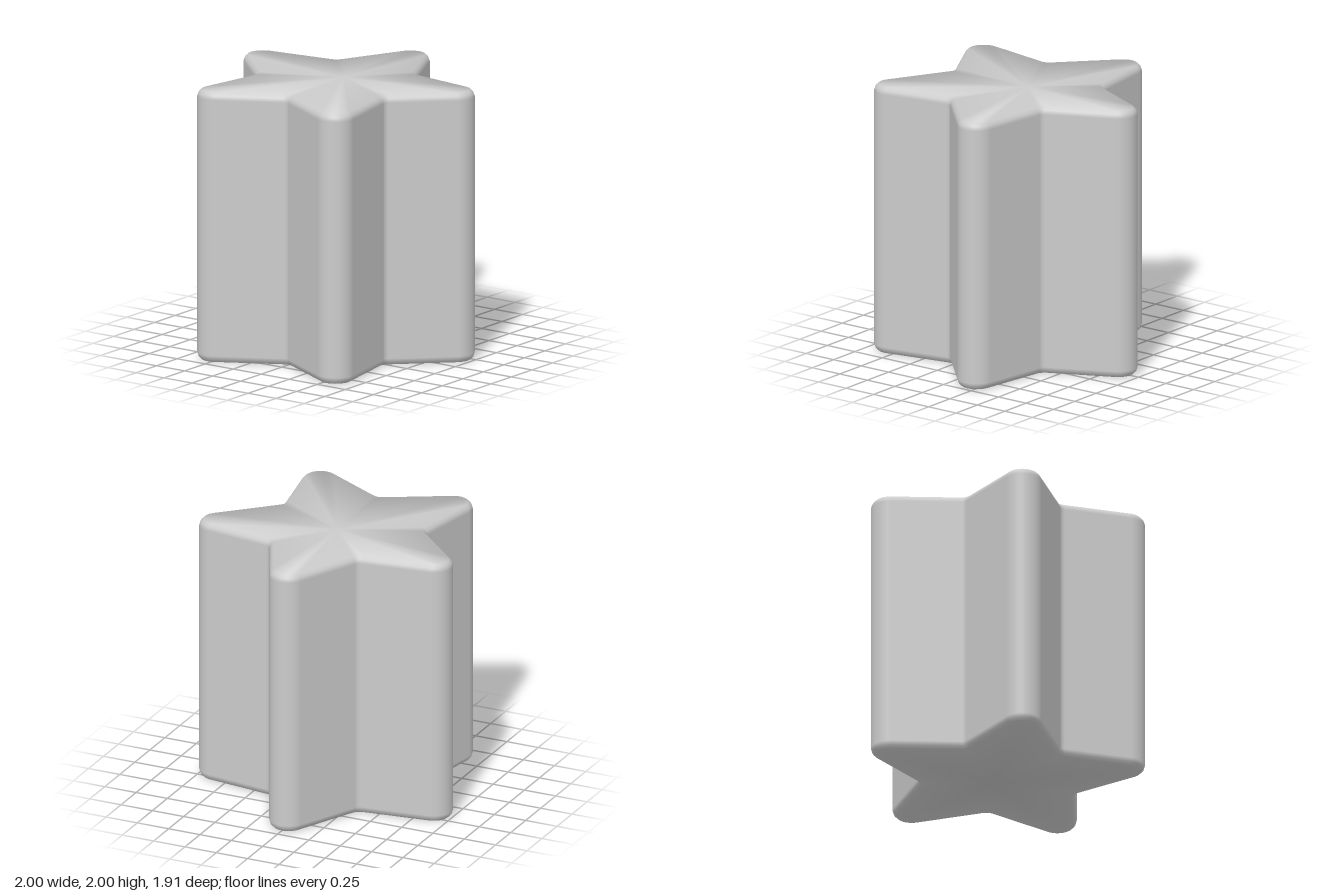
import * as THREE from 'three';

const TIPS = 5;
const TIP_DIST = 0.903, TIP_R = 0.14;    // rounded arm ends
const NOTCH_R = 0.05;                    // rounded inner corners
const CENTRE_Z = 0.087;                  // star centre, off the middle of its depth
const EDGE = THREE.MathUtils.degToRad(64.5); // arm side normal, from the arm axis
const HALF = Math.PI / TIPS;
const NOTCH_DIST = (TIP_DIST * Math.cos(EDGE) + TIP_R + NOTCH_R) / Math.cos(EDGE - HALF);

// Outline points with outward normals, clockwise from above, starting at the back arm
function starOutline() {
  const pts = [];
  const arc = (axis, dist, radius, from, to, steps) => {
    for (let i = 0; i <= steps; i++) {
      const a = axis + from + (to - from) * i / steps;
      const nx = Math.sin(a), nz = -Math.cos(a);
      pts.push({
        x: Math.sin(axis) * dist + nx * radius,
        z: CENTRE_Z - Math.cos(axis) * dist + nz * radius,
        nx, nz,
      });
    }
  };
  for (let k = 0; k < TIPS; k++) {
    const axis = k * 2 * HALF;
    arc(axis, TIP_DIST, TIP_R, -EDGE, EDGE, 12);
    // inner corner: the arc curves the other way
    arc(axis + HALF, NOTCH_DIST, -NOTCH_R, EDGE - HALF, HALF - EDGE, 5);
  }
  return pts;
}

function starPrism() {
  const outline = starOutline(), n = outline.length;
  // Bevel rings: inset, height, normal tilt in degrees
  const top = [[0, 1.95, 0], [0.01, 1.98, 30], [0.03, 2, 50]];
  const rings = [...top.map(([d, y, t]) => [d, 2 - y, -t]).reverse(), ...top];
  const pos = [], nor = [], idx = [];

  for (const [inset, y, tilt] of rings) {
    const t = THREE.MathUtils.degToRad(tilt);
    for (const p of outline) {
      pos.push(p.x - p.nx * inset, y, p.z - p.nz * inset);
      nor.push(p.nx * Math.cos(t), Math.sin(t), p.nz * Math.cos(t));
    }
  }
  // Centre points of the two end caps
  const low = rings.length * n, high = low + 1, last = (rings.length - 1) * n;
  pos.push(0, 0, 0, 0, 2, 0);
  nor.push(0, -1, 0, 0, 1, 0);

  for (let i = 0; i < n; i++) {
    const k = (i + 1) % n;
    for (let j = 0; j < rings.length - 1; j++) {
      const a = j * n + i, b = j * n + k;
      idx.push(a, a + n, b + n, a, b + n, b);
    }
    idx.push(high, last + k, last + i, low, i, k);
  }

  const g = new THREE.BufferGeometry();
  g.setAttribute('position', new THREE.Float32BufferAttribute(pos, 3));
  g.setAttribute('normal', new THREE.Float32BufferAttribute(nor, 3));
  g.setIndex(idx);
  return g;
}

export function createModel() {
  const model = new THREE.Group();
  model.name = 'starPrism';
  const body = new THREE.Mesh(starPrism(), new THREE.MeshStandardMaterial({ color: 0xcccccc }));
  body.name = 'starBody';
  model.add(body);
  return model;
}
